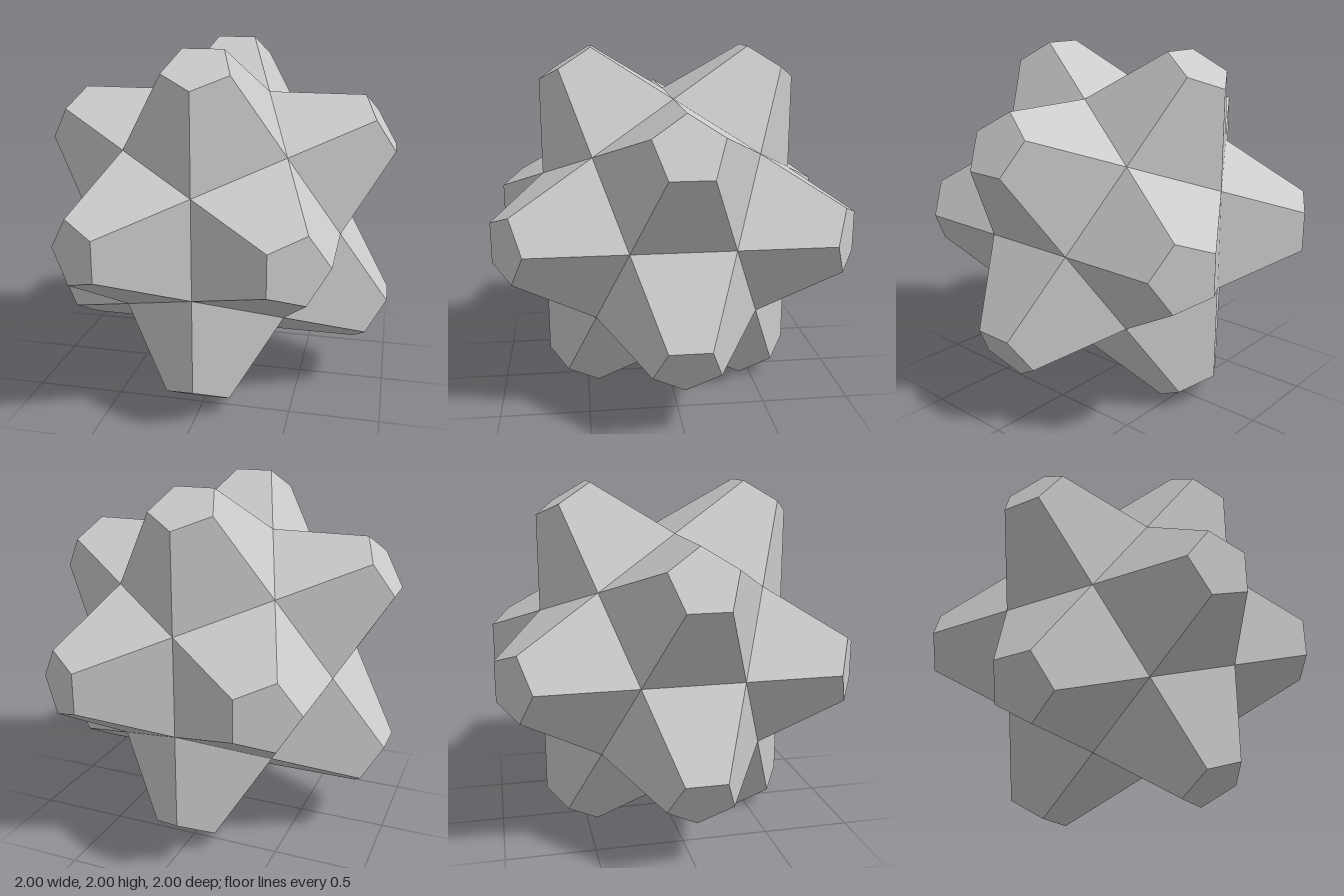
import * as THREE from 'three';

const PHI = (1 + Math.sqrt(5)) / 2;
const CUT = 0.6;                      // share of each point's height that is kept
const S = 1 / (PHI + CUT);            // scale giving an overall size of 2
const HALF_EDGE = S / PHI;            // half edge of the core dodecahedron

// Five-sided truncated spike, open underneath where it meets its neighbours
function spikeGeometry() {
  const baseR = HALF_EDGE / Math.sin(Math.PI / 5);
  const baseH = S * PHI * PHI / Math.hypot(1, PHI);
  const apexH = S * PHI * Math.hypot(1, PHI);
  const topR = baseR * (1 - CUT);
  const topH = baseH + (apexH - baseH) * CUT;
  const profile = [[baseR, baseH], [topR, topH], [0, topH]];
  return new THREE.LatheGeometry(profile.map(([r, h]) => new THREE.Vector2(r, h)), 5);
}

// Cyclic shift of coordinates
function cycle([x, y, z], n) {
  const v = [x, y, z];
  return new THREE.Vector3(v[n % 3], v[(n + 1) % 3], v[(n + 2) % 3]);
}

export function createModel() {
  const model = new THREE.Group();
  model.name = 'truncatedStarPolyhedron';
  const material = new THREE.MeshStandardMaterial({ color: 0xcccccc, flatShading: true });
  const geometry = spikeGeometry();

  // Twelve spikes along the icosahedral axes
  for (let n = 0; n < 3; n++) {
    for (const a of [1, -1]) {
      for (const b of [1, -1]) {
        const axis = cycle([0, a * PHI, b], n).normalize();
        const corner = cycle([0, -a, b * PHI], n).normalize(); // towards one base corner
        const side = new THREE.Vector3().crossVectors(axis, corner);
        const spike = new THREE.Mesh(geometry, material);
        spike.name = 'spike';
        spike.quaternion.setFromRotationMatrix(new THREE.Matrix4().makeBasis(side, axis, corner));
        spike.position.y = 1;
        model.add(spike);
      }
    }
  }
  return model;
}
